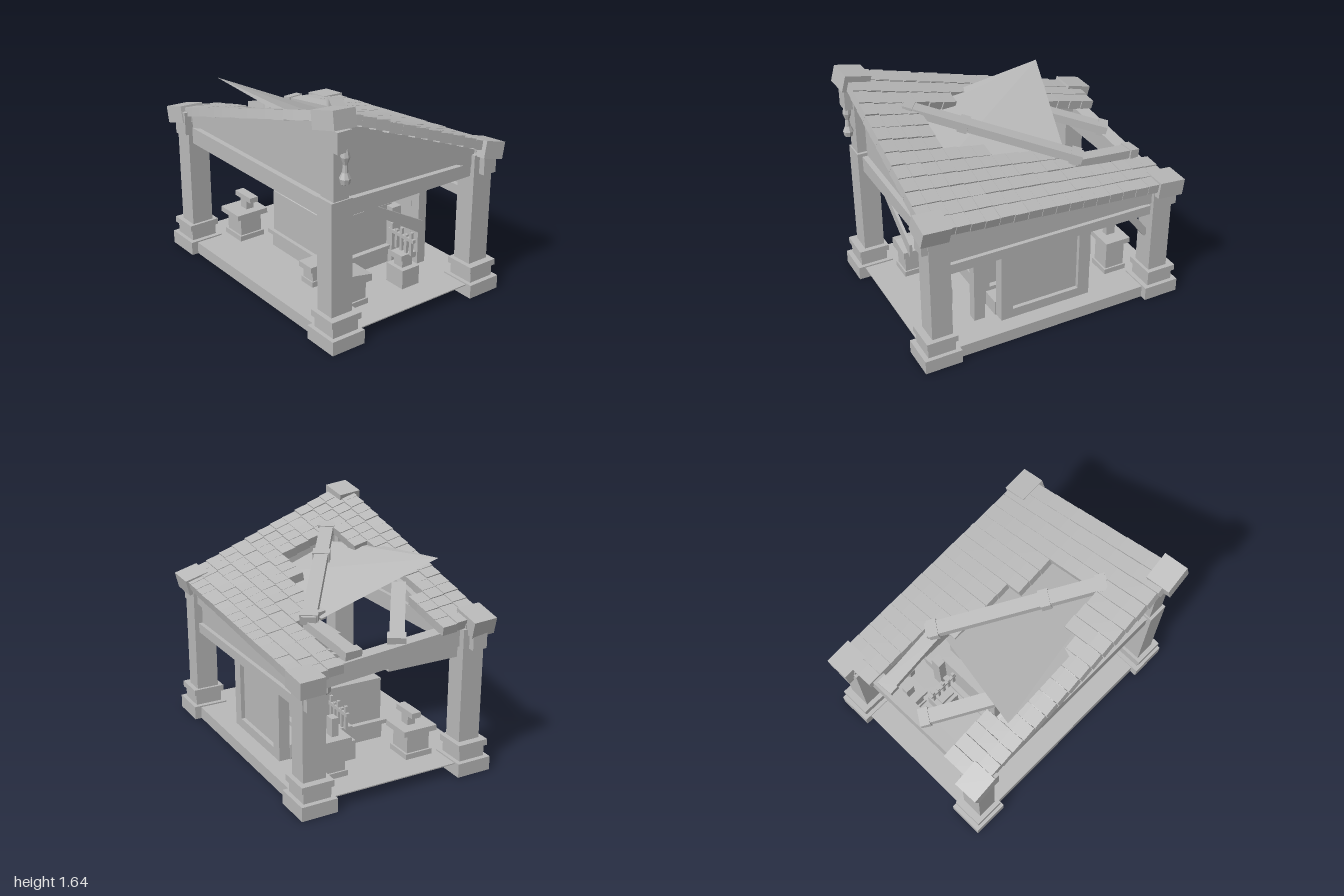
import * as THREE from 'three';
import { mergeGeometries } from 'three/addons/utils/BufferGeometryUtils.js';

const V = (x, y, z) => new THREE.Vector3(x, y, z);

export function createModel() {
  const grey = new THREE.MeshStandardMaterial({ color: 0xb8b8b8 });
  grey.name = 'stoneGrey';
  grey.flatShading = true;
  grey.side = THREE.DoubleSide;
  const root = new THREE.Group();
  root.name = 'openWorkshop';

  let seed = 7;
  const rnd = () => (seed = (seed * 16807) % 2147483647) / 2147483647 - 0.5;

  const add = (name, geo, parent = root) => {
    const m = new THREE.Mesh(geo, grey);
    m.name = name;
    parent.add(m);
    return m;
  };
  // Box from its minimum and maximum on each axis
  const box = (name, x0, x1, y0, y1, z0, z1, parent) => add(name,
    new THREE.BoxGeometry(x1 - x0, y1 - y0, z1 - z0).translate((x0 + x1) / 2, (y0 + y1) / 2, (z0 + z1) / 2), parent);
  // Box centred in plan, standing on y0
  const block = (name, x, z, w, d, y0, y1, parent) => box(name, x - w / 2, x + w / 2, y0, y1, z - d / 2, z + d / 2, parent);
  // Timber running from p to q
  const beam = (name, p, q, w, h, parent) => {
    const m = add(name, new THREE.BoxGeometry(w, h, p.distanceTo(q)), parent);
    m.position.copy(p).lerp(q, 0.5);
    m.lookAt(q);
    return m;
  };
  // Flat board cut to an outline in the xy plane
  const board = (pts, t) => new THREE.ExtrudeGeometry(
    new THREE.Shape(pts.map(p => new THREE.Vector2(...p))), { depth: t, bevelEnabled: false });

  // Warped roof surface: high at front -x, low at the other corners
  const roofY = (x, z) => {
    const u = (x + 0.65) / 1.3;
    return (1.34 + 0.27 * z) * (1 - u) + (1.0 + 0.09 * z) * u;
  };
  const roofMatrix = (x, z, lift, tilt = 0) => {
    const e = 0.01;
    const X = V(2 * e, roofY(x + e, z) - roofY(x - e, z), 0).normalize();
    const Z = V(0, roofY(x, z + e) - roofY(x, z - e), 2 * e);
    const N = Z.cross(X).normalize();
    return new THREE.Matrix4().makeBasis(X, N, X.clone().cross(N))
      .setPosition(x, roofY(x, z) + lift, z)
      .multiply(new THREE.Matrix4().makeRotationZ(tilt));
  };

  // Floor and side sills
  box('floor', -0.62, 0.62, 0.082, 0.09, -0.95, 0.95);
  for (const s of [-1, 1]) block('sill', s * 0.645, 0, 0.07, 1.6, 0, 0.09);

  // Corner posts with hollow plinths, brackets and caps
  for (const sx of [-1, 1]) for (const sz of [-1, 1]) {
    const g = new THREE.Group();
    g.name = 'cornerPost';
    root.add(g);
    const x = sx * 0.6, z = sz * 0.865, top = roofY(x, z), tall = sx < 0 && sz > 0;
    const skirt = new THREE.CylinderGeometry(Math.SQRT1_2, Math.SQRT1_2, 0.1, 4, 1, true).rotateY(Math.PI / 4);
    add('plinthSkirt', skirt.scale(0.26, 1, 0.27).translate(x, 0.05, z), g);
    block('plinthLedge', x, z, 0.26, 0.27, 0.09, 0.1, g);
    block('plinthMiddle', x, z, 0.2, 0.2, 0.1, 0.18, g);
    block('plinthTop', x, z, 0.235, 0.225, 0.18, 0.225, g);
    const shaft = tall ? 1.02 : top - 0.06;
    block('shaft', x, sz * 0.85, 0.165, 0.15, 0.225, shaft, g);
    block('upperShaft', x, sz * 0.85, 0.12, 0.13, shaft, top - 0.03, g);
    add('cap', new THREE.BoxGeometry(0.18, 0.12, 0.2), g)
      .applyMatrix4(roofMatrix(sx * 0.637, sz * 0.885, tall ? -0.02 : -0.025, tall ? 0.28 : 0.1));
    block('bracket', sx * 0.62, sz * 0.92, 0.11, 0.1, top - 0.2, top - 0.06, g);
  }
  // Hanging pendant on the tall corner
  const drop = [[0, 0], [0.03, 0.015], [0.038, 0.05], [0.02, 0.09], [0.015, 0.14], [0.032, 0.19], [0.02, 0.25], [0, 0.27]];
  add('pendant', new THREE.LatheGeometry(drop.map(p => new THREE.Vector2(...p)), 8)).position.set(-0.6, 1.13, 0.95);
  block('rearOrnament', -0.69, -0.82, 0.05, 0.12, 0.95, 1.12);

  // Gable boards, tie beams and edge rafters
  add('frontGable', board([[-0.53, 0.98], [0.5, 0.93], [0.5, 1.0], [-0.53, 1.42]], 0.03)).position.z = 0.82;
  add('frontTie', board([[-0.53, 0.88], [0.53, 0.88], [0.53, 0.97], [-0.53, 0.995]], 0.08)).position.z = 0.81;
  beam('frontRafter', V(-0.58, 1.44, 0.85), V(0.6, 0.99, 0.85), 0.09, 0.14);
  const left = board([[-0.78, 0.98], [0.78, 0.98], [0.78, 1.43], [-0.78, 1.03]], 0.03).rotateY(-Math.PI / 2);
  add('tallSideGable', left).position.x = -0.58;
  box('tallSideTie', -0.65, -0.55, 0.87, 0.99, -0.78, 0.78);
  beam('tallSideRafter', V(-0.6, 1.475, 0.85), V(-0.6, 1.035, -0.85), 0.09, 0.13);
  const right = board([[-0.78, 0.74], [0.78, 0.74], [0.78, 0.95], [-0.78, 0.8]], 0.03).rotateY(-Math.PI / 2);
  add('lowSideGable', right).position.x = 0.62;
  box('lowSideTie', 0.55, 0.65, 0.68, 0.75, -0.78, 0.78);
  beam('lowSideRafter', V(0.61, 0.98, 0.83), V(0.61, 0.835, -0.83), 0.09, 0.14);
  beam('backTie', V(-0.56, 0.98, -0.83), V(0.56, 0.88, -0.83), 0.1, 0.13);
  box('backLowerTie', -0.55, 0.02, 0.83, 0.9, -0.86, -0.8);
  for (const x of [0.42, -0.46]) beam('innerRafter', V(x, roofY(x, 0.8) - 0.07, 0.8), V(x, roofY(x, -0.83) - 0.07, -0.83), 0.06, 0.07);

  // Roof tiles, leaving a ragged hole in the middle
  const hasTile = (x, z) => {
    if (z > 0.53) return true;
    if (x < 0) return x < (z < -0.45 ? -0.4 : z < 0.14 ? -0.5 : z < 0.26 ? -0.46 : -0.36);
    return x > (z < -0.3 ? 0.35 : z < 0.2 ? 0.2 : 0.02);
  };
  const tiles = [], nx = 13, nz = 18, dx = 1.39 / nx, dz = 1.86 / nz;
  for (let i = 0; i < nx; i++) for (let j = 0; j < nz; j++) {
    const x = -0.685 + (i + 0.5) * dx, z = -0.91 + (j + 0.5) * dz;
    if (!hasTile(x, z) || (Math.abs(x) > 0.55 && Math.abs(z) > 0.84)) continue;
    tiles.push(new THREE.BoxGeometry(dx * 1.08, 0.065, dz * 0.985)
      .applyMatrix4(roofMatrix(x, z, -0.01 + rnd() * 0.005, 0.07 + rnd() * 0.02)));
  }
  add('roofTiles', mergeGeometries(tiles));

  // Fallen timbers lying across the hole, with collars
  const timber = (p, q, collars) => {
    beam('looseTimber', p, q, 0.1, 0.06);
    const dir = q.clone().sub(p).normalize();
    for (const t of collars) {
      const c = p.clone().lerp(q, t);
      beam('timberCollar', c.clone().addScaledVector(dir, -0.035), c.clone().addScaledVector(dir, 0.035), 0.125, 0.075);
    }
  };
  timber(V(-0.36, 1.4, 0.63), V(0.35, 1.085, -0.39), [0.03, 0.34, 0.96]);
  timber(V(-0.05, 1.01, -0.84), V(-0.42, 1.18, -0.28), [0.05]);
  timber(V(0.28, 0.99, -0.84), V(0.31, 1.05, -0.33), [0.03]);

  // Torn sheet, a peak rising out of the hole
  const peak = [-0.57, 1.42, -0.53];
  const hem = [[-0.51, 1.33, 0.3], [-0.36, 1.29, 0.58], [0.1, 1.12, 0.58], [0.25, 1.05, 0.2], [0.22, 1.06, -0.33]];
  const tris = [];
  for (let i = 0; i < hem.length - 1; i++) tris.push(...peak, ...hem[i], ...hem[i + 1]);
  const sheet = new THREE.BufferGeometry();
  sheet.setAttribute('position', new THREE.Float32BufferAttribute(tris, 3));
  sheet.computeVertexNormals();
  add('tornSheet', sheet);
  // Splintered board hanging in the front opening
  add('hangingSplinter', board([[-0.42, 0.89], [0.155, 0.53], [0.155, 0.63], [-0.32, 0.89]], 0.02)).position.z = 0.82;

  // Framed wall on the low side
  box('wallPanel', 0.49, 0.53, 0.09, 0.7, -0.28, 0.28);
  box('wallFoot', 0.48, 0.56, 0.09, 0.16, -0.35, 0.35);
  for (const s of [-1, 1]) block('wallStud', 0.52, s * 0.305, 0.08, 0.09, 0.09, 0.7);
  block('sidePost', 0.44, 0.475, 0.07, 0.08, 0.09, 0.92);
  beam('backBrace', V(0.6, 0.5, -0.78), V(0.6, 0.7, -0.62), 0.04, 0.05);

  // Forge with sloping hood and chimney
  const forge = new THREE.Group();
  forge.name = 'forge';
  root.add(forge);
  box('hearth', -0.25, 0.48, 0.09, 0.2, -0.36, 0.36, forge);
  box('hearthLedge', -0.28, 0.34, 0.2, 0.23, -0.38, 0.38, forge);
  box('forgeBody', -0.25, 0.3, 0.23, 0.54, -0.34, 0.34, forge);
  add('hood', board([[-0.25, 0.54], [0.29, 0.54], [0.29, 0.75], [0, 0.75]], 0.5), forge).position.z = -0.25;
  box('chimney', 0.02, 0.28, 0.72, 0.88, -0.18, 0.18, forge);
  box('chimneyBand', 0, 0.3, 0.72, 0.77, -0.21, 0.21, forge);
  box('chimneyTop', 0, 0.3, 0.83, 0.88, -0.21, 0.21, forge);
  for (const s of [-1, 1]) block('forgePier', 0.3, s * 0.365, 0.08, 0.07, 0.09, 0.53, forge);

  // Work stands
  const stand = (name, x, z, w, y) => {
    const g = new THREE.Group();
    g.name = name;
    root.add(g);
    block('foot', x, z, w * 0.8, w * 0.8, 0.09, 0.13, g);
    block('body', x, z, w * 0.68, w * 0.68, 0.13, y - 0.04, g);
    block('top', x, z, w, w * 0.9, y - 0.04, y, g);
    return g;
  };
  const chest = stand('chestStand', -0.31, 0.65, 0.21, 0.3);
  add('slopedLid', board([[-0.105, 0.3], [0.105, 0.3], [0.105, 0.31], [-0.05, 0.34], [-0.105, 0.33]], 0.19), chest)
    .position.set(-0.31, 0, 0.555);
  stand('smallStand', -0.34, 0.28, 0.16, 0.25);
  stand('backStand', 0.34, -0.66, 0.22, 0.37);
  block('vice', 0.32, -0.66, 0.05, 0.07, 0.37, 0.5);
  stand('anvilStand', -0.31, -0.65, 0.26, 0.31);
  block('anvilWaist', -0.29, -0.64, 0.06, 0.08, 0.31, 0.38);
  block('anvilHead', -0.29, -0.64, 0.07, 0.2, 0.38, 0.42);

  // Tool racks with a row of hanging tools
  for (const [x, z] of [[0.15, 0.65], [0.16, -0.48]]) {
    const g = stand('toolRack', x, z, 0.13, 0.33);
    block('rackFoot', x, z, 0.15, 0.17, 0.09, 0.23, g);
    const c = z - Math.sign(z) * 0.02;
    block('rackRail', x, c, 0.025, 0.26, 0.43, 0.455, g);
    for (let i = -2; i <= 2; i++) block('tool', x, c + i * 0.05, 0.02, 0.022, 0.33, 0.47 + (i % 2 ? 0 : 0.03), g);
  }

  // Lantern
  const lamp = [[0, 0], [0.02, 0.015], [0.035, 0.03], [0.042, 0.13], [0.025, 0.15], [0.012, 0.17], [0, 0.18]];
  add('lantern', new THREE.LatheGeometry(lamp.map(p => new THREE.Vector2(...p)), 6)).position.set(0.34, 0.63, -0.6);
  block('lanternHook', 0.34, -0.6, 0.015, 0.015, 0.8, 0.95);

  return root;
}
